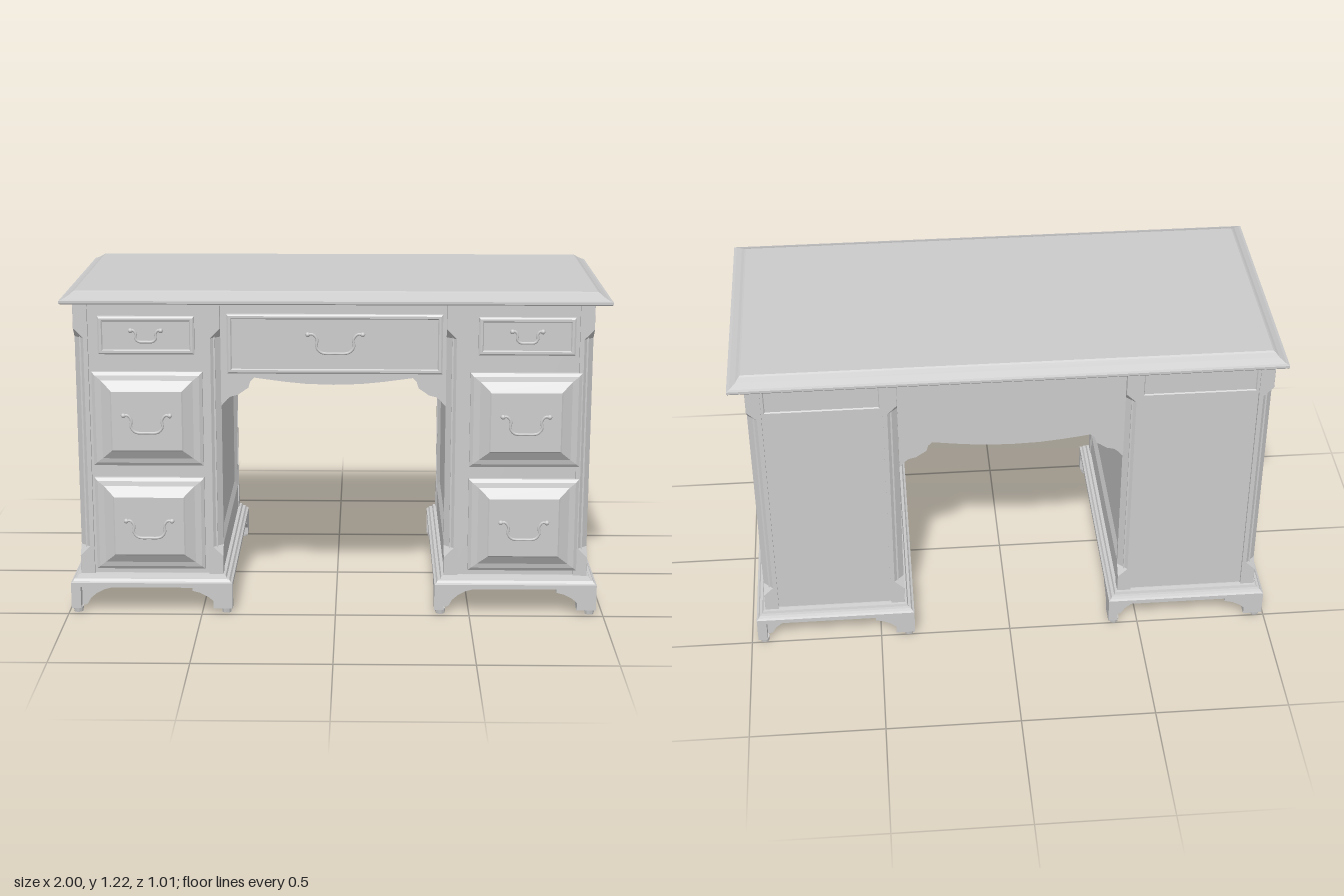
import * as THREE from 'three';

const mat = new THREE.MeshStandardMaterial({ color: 0xcccccc, flatShading: true, side: THREE.DoubleSide });
const smooth = new THREE.MeshStandardMaterial({ color: 0xcccccc });
const CORNERS = [[1, 1], [1, -1], [-1, -1], [-1, 1]]; // each is a quarter turn from the last

function add(parent, name, geo, x = 0, y = 0, z = 0, m = mat) {
  const mesh = new THREE.Mesh(geo, m);
  mesh.name = name;
  mesh.position.set(x, y, z);
  parent.add(mesh);
  return mesh;
}

// Skin a stack of equal-length rings, counterclockwise seen from the end, with both ends closed
function loft(rings) {
  const n = rings[0].length, pos = rings.flat(2), idx = [];
  for (let r = 0; r < rings.length - 1; r++) {
    for (let j = 0; j < n; j++) {
      const a = r * n + j, b = r * n + (j + 1) % n;
      idx.push(a, b, b + n, a, b + n, a + n);
    }
  }
  const last = (rings.length - 1) * n;
  for (let j = 1; j < n - 1; j++) {
    idx.push(last, last + j, last + j + 1, 0, j + 1, j);
  }
  const g = new THREE.BufferGeometry();
  g.setAttribute('position', new THREE.Float32BufferAttribute(pos, 3));
  g.setIndex(idx);
  const flat = g.toNonIndexed();
  flat.computeVertexNormals();
  return flat;
}

// Rectangular steps [halfWidth, halfHeight, z, centreY]
const steps = (list) => loft(list.map(([w, h, z, c = 0]) =>
  [[-w, c - h, z], [w, c - h, z], [w, c + h, z], [-w, c + h, z]]));

// The same steps stacked upwards
const slab = (list) => steps(list).rotateX(-Math.PI / 2);

function extrude(shape, depth, bevel = 0) {
  return new THREE.ExtrudeGeometry(shape, {
    depth, steps: 1, bevelEnabled: bevel > 0, bevelSize: bevel, bevelThickness: bevel, bevelSegments: 1, curveSegments: 8,
  });
}

const shapeOf = (pts) => new THREE.Shape(pts.map(([x, y]) => new THREE.Vector2(x, y)));

// Octagonal outline: rectangle with clipped corners
const octagon = (w, h, c) => [
  [-w + c, -h], [w - c, -h], [w, -h + c], [w, h - c], [w - c, h], [-w + c, h], [-w, h - c], [-w, -h + c],
];

// Square post whose outer edge is chamfered between two stops
function postGeometry() {
  const s = 0.052;
  const levels = [[0.14, 0.001], [0.215, 0.001], [0.25, 0.036], [1.045, 0.036], [1.08, 0.001], [1.178, 0.001]];
  return loft(levels.map(([y, c]) => [[0, y, 0], [0, y, -s], [-s, y, -s], [-s, y, 0], [-c, y, 0]]
    .map(([x, yy, z], i) => (i === 0 ? [0, yy, -c] : [x, yy, z]))).map((ring) => ring));
}

// Bracket foot: two scrolled wings meeting at the corner, on a small pad
function makeFoot() {
  const foot = new THREE.Group();
  foot.name = 'bracketFoot';
  const wing = extrude(shapeOf([
    [0, 0.102], [-0.15, 0.102], [-0.15, 0.088], [-0.12, 0.08], [-0.09, 0.064],
    [-0.068, 0.045], [-0.055, 0.022], [-0.045, 0.018], [0, 0.018],
  ]), 0.036);
  add(foot, 'footWing', wing, 0, 0, -0.036);
  add(foot, 'footWing', wing).rotation.y = -Math.PI / 2;
  foot.children[1].position.x = -0.036;
  add(foot, 'footPad', new THREE.CylinderGeometry(0.02, 0.017, 0.02, 10), -0.023, 0.01, -0.023);
  return foot;
}

// Bail handle with two knobs, half width w and drop h
function makeHandle(w, h) {
  const handle = new THREE.Group();
  handle.name = 'handle';
  const half = [[-1, 0], [-0.82, 0.02], [-0.66, -0.25], [-0.68, -0.65], [-0.5, -0.95]];
  const pts = [...half, [0, -1], ...half.map(([x, y]) => [-x, y]).reverse()];
  const path = new THREE.CatmullRomCurve3(pts.map(([x, y]) => new THREE.Vector3(x * w, y * h, 0.005)));
  add(handle, 'bail', new THREE.TubeGeometry(path, 40, 0.005, 8), 0, 0, 0, smooth);
  for (const s of [-1, 1]) {
    add(handle, 'knob', new THREE.SphereGeometry(0.009, 12, 8), s * w, 0, 0.004, smooth);
  }
  return handle;
}

// Flat drawer with a moulded rim
const flatDrawer = (w, h) => steps([
  [w, h, 0], [w, h, 0.016], [w - 0.006, h - 0.006, 0.02], [w - 0.014, h - 0.014, 0.02], [w - 0.018, h - 0.018, 0.015],
]);

// Raised drawer front with a wide bevel
const raisedDrawer = (w, h) => steps([
  [w, h, 0], [w, h, 0.014], [w - 0.012, h - 0.012, 0.022], [w - 0.035, h - 0.03, 0.026],
  [w - 0.07, h - 0.062, 0.046], [w - 0.075, h - 0.067, 0.05],
]);

function makePedestal(side) {
  const p = new THREE.Group();
  p.name = side > 0 ? 'leftPedestal' : 'rightPedestal';
  p.position.set(-0.008 + side * 0.68, 0, -0.01);

  add(p, 'carcass', new THREE.BoxGeometry(0.495, 1.04, 0.905), 0, 0.658, 0);
  add(p, 'plinth', slab([
    [0.3025, 0.497, 0.1], [0.3025, 0.497, 0.117], [0.295, 0.489, 0.121], [0.29, 0.484, 0.13],
    [0.28, 0.474, 0.132], [0.276, 0.471, 0.142], [0.262, 0.456, 0.145],
  ]));

  // Chamfered posts and feet at the four corners
  const post = postGeometry();
  CORNERS.forEach(([sx, sz], i) => {
    add(p, 'cornerPost', post, sx * 0.2675, 0, sz * 0.4625).rotation.y = i * Math.PI / 2;
    const foot = makeFoot();
    foot.position.set(sx * 0.3025, 0, sz * 0.497);
    foot.rotation.y = i * Math.PI / 2;
    p.add(foot);
  });

  // Recessed side panels, with an octagonal moulding on the outer one
  const panel = steps([
    [0.412, 0.517, -0.02, 0.659], [0.412, 0.517, 0, 0.659], [0.406, 0.4, 0, 0.64], [0.384, 0.376, -0.012, 0.643],
  ]);
  for (const s of [-1, 1]) {
    add(p, 'sidePanel', panel, s * 0.2645, 0, 0).rotation.y = s * Math.PI / 2;
  }
  const frame = shapeOf(octagon(0.247, 0.311, 0.04));
  frame.holes.push(new THREE.Path(octagon(0.23, 0.294, 0.034).map(([x, y]) => new THREE.Vector2(x, y))));
  add(p, 'octagonMoulding', extrude(frame, 0.01, 0.005), side * 0.25, 0.622, 0).rotation.y = side * Math.PI / 2;

  // Back rail with a shallow framed strip
  add(p, 'backRail', steps([
    [0.216, 0.058, 0], [0.216, 0.058, 0.007], [0.205, 0.047, 0.007], [0.202, 0.044, 0.002],
  ]), 0, 1.117, -0.4515).rotation.y = Math.PI;

  // Drawers: one small flat, two deep raised
  const dx = side > 0 ? 0.024 : -0.002;
  const drawers = [
    ['topDrawer', flatDrawer(0.176, 0.07), 1.056, 0.016, 0.055, 0.042, 1.075],
    ['middleDrawer', raisedDrawer(0.203, 0.177), 0.743, 0.05, 0.085, 0.065, 0.765],
    ['bottomDrawer', raisedDrawer(0.203, 0.177), 0.342, 0.05, 0.085, 0.065, 0.363],
  ];
  for (const [name, geo, y, depth, w, h, hy] of drawers) {
    add(p, name, geo, dx, y, 0.452);
    const handle = makeHandle(w, h);
    handle.position.set(dx, hy, 0.452 + depth);
    p.add(handle);
  }
  return p;
}

// Scalloped apron spanning the kneehole
function apronGeometry() {
  const half = [
    [0.412, 0.79], [0.39, 0.815], [0.378, 0.825], [0.35, 0.832], [0.325, 0.85], [0.312, 0.858],
    [0.305, 0.882], [0.29, 0.897], [0.24, 0.89], [0.18, 0.882], [0.1, 0.874],
  ];
  const mirror = half.map(([x, y]) => [-x, y]);
  return extrude(shapeOf([[-0.412, 1.176], ...mirror, [0, 0.871], ...half.slice().reverse(), [0.412, 1.176]]), 0.02);
}

export function createModel() {
  const desk = new THREE.Group();
  desk.name = 'pedestalDesk';

  add(desk, 'desktop', slab([
    [0.996, 0.484, 1.174], [1, 0.487, 1.178], [1, 0.487, 1.187], [0.99, 0.477, 1.19],
    [0.968, 0.452, 1.202], [0.957, 0.432, 1.211], [0.95, 0.425, 1.215],
  ]), 0, 0, -0.005);

  for (const side of [-1, 1]) desk.add(makePedestal(side));

  // Kneehole compartment, aprons and centre drawer
  add(desk, 'kneeholeBox', new THREE.BoxGeometry(0.84, 0.272, 0.85), -0.008, 1.04, -0.01);
  const apron = apronGeometry();
  add(desk, 'frontApron', apron, -0.008, 0, 0.421);
  add(desk, 'backApron', apron, -0.008, 0, -0.455);
  add(desk, 'centreDrawer', flatDrawer(0.393, 0.11), -0.003, 1.025, 0.44);
  const handle = makeHandle(0.1, 0.07);
  handle.position.set(-0.001, 1.062, 0.457);
  desk.add(handle);

  return desk;
}
